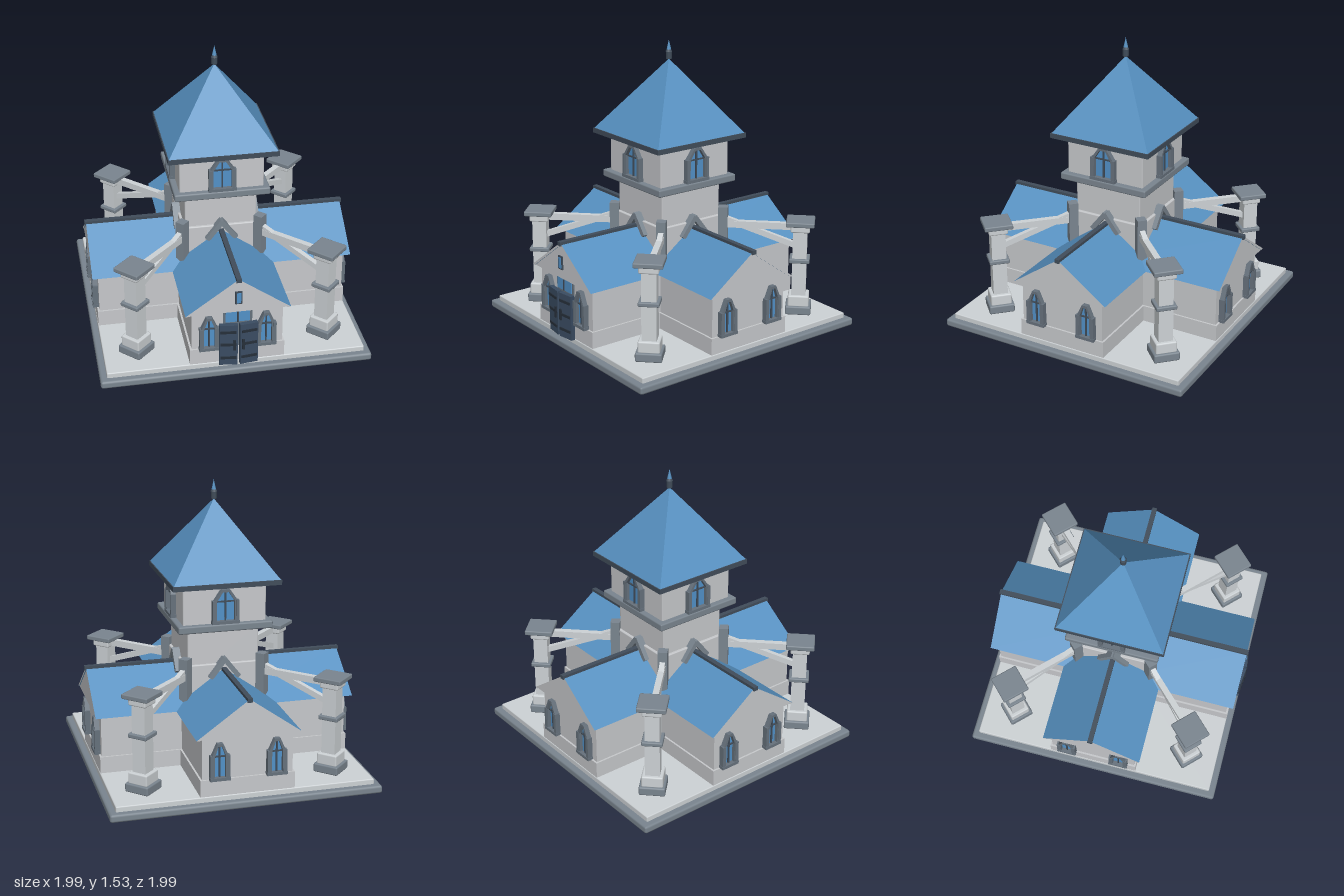
import * as THREE from 'three';
import { RoundedBoxGeometry } from 'three/addons/geometries/RoundedBoxGeometry.js';

const mat = (name, color) => {
  const m = new THREE.MeshStandardMaterial({ color });
  m.name = name;
  return m;
};

export function createModel() {
  const wall = mat('wall stone', 0xc6c8cb);
  const pale = mat('pale stone', 0xcdd2d5);
  const trim = mat('grey trim', 0x7a858f);
  const frameGrey = mat('window frame', 0x66717c);
  const roof = mat('blue roof', 0x5690c0);
  const dark = mat('dark edging', 0x414d5a);
  const glass = mat('blue glass', 0x5291c8);
  const doorBlue = mat('door', 0x3a4c62);
  const iron = mat('iron', 0x262f3a);

  const add = (parent, name, geo, material, x = 0, y = 0, z = 0) => {
    const m = new THREE.Mesh(geo, material);
    m.name = name;
    m.position.set(x, y, z);
    parent.add(m);
    return m;
  };
  // box given by its bottom and top heights
  const box = (parent, name, material, w, y0, y1, d, x = 0, z = 0) =>
    add(parent, name, new THREE.BoxGeometry(w, y1 - y0, d), material, x, (y0 + y1) / 2, z);
  const bevelBox = (parent, name, material, w, y0, y1, d, r = 0.008) =>
    add(parent, name, new RoundedBoxGeometry(w, y1 - y0, d, 1, r), material, 0, (y0 + y1) / 2, 0);
  const polygon = (pts) => new THREE.Shape(pts.map(([x, y]) => new THREE.Vector2(x, y)));
  const extrude = (shape, depth) => new THREE.ExtrudeGeometry(shape, { depth, bevelEnabled: false });

  // pointed window outline standing on y = 0
  const outline = (a, h) => [[-a, 0], [a, 0], [a, h * 0.68], [a * 0.35, h], [-a * 0.35, h], [-a, h * 0.68]];
  function makeWindow(a, h, depth) {
    const g = new THREE.Group();
    g.name = 'window';
    const t = 0.014;
    const inner = outline(a - t, h - 2 * t).map(([x, y]) => [x, y + t]);
    const surround = polygon(outline(a, h));
    surround.holes.push(new THREE.Path(inner.map(([x, y]) => new THREE.Vector2(x, y))));
    add(g, 'windowFrame', extrude(surround, depth), frameGrey);
    add(g, 'windowGlass', new THREE.ShapeGeometry(polygon(inner)), glass, 0, 0, 0.006);
    box(g, 'mullion', dark, 0.008, t, h - t, 0.008, 0, 0.01);
    box(g, 'crossbar', dark, 2 * (a - t), h * 0.62, h * 0.62 + 0.007, 0.008, 0, 0.01);
    box(g, 'windowSill', frameGrey, 2 * a + 0.022, 0, 0.016, depth + 0.01, 0, depth / 2);
    for (const s of [-1, 1]) {
      box(g, 'windowPier', frameGrey, 0.018, 0, h * 0.68, depth + 0.006, s * a, depth / 2);
    }
    return g;
  }

  const model = new THREE.Group();
  model.name = 'chapel';
  const body = new THREE.Group();
  body.name = 'building';
  body.rotation.y = Math.PI / 4;
  model.add(body);

  // stepped platform
  bevelBox(body, 'platformBase', trim, 1.414, 0, 0.042, 1.414, 0.012);
  bevelBox(body, 'platformTop', pale, 1.345, 0.035, 0.07, 1.345, 0.006);

  // cross-shaped ground floor
  for (const [w, d] of [[0.47, 1.32], [1.32, 0.47]]) {
    box(body, 'plinth', wall, w + 0.02, 0.07, 0.158, d + 0.02);
    box(body, 'wingWalls', wall, w, 0.158, 0.385, d);
  }

  // wings with gable roofs
  for (let i = 0; i < 4; i++) {
    const wing = new THREE.Group();
    wing.name = 'wing';
    wing.rotation.y = i * Math.PI / 2;
    body.add(wing);
    add(wing, 'gable', extrude(polygon([[-0.255, 0.38], [0.255, 0.38], [0, 0.562]]), 0.688), wall);
    const slopes = polygon([[0.27, 0.38], [0, 0.573], [-0.27, 0.38], [-0.25, 0.38], [0, 0.559], [0.25, 0.38]]);
    add(wing, 'wingRoof', extrude(slopes, 0.692), [wall, roof]);
    box(wing, 'ridgeCap', dark, 0.026, 0.558, 0.579, 0.53, 0, 0.435);
    for (const s of [-1, 1]) {
      const w = makeWindow(0.042, 0.195, 0.026);
      w.position.set(s * 0.147, 0.156, 0.66);
      wing.add(w);
      // peaked moulding where the ridge meets the tower
      const m = box(wing, 'peakMoulding', trim, 0.026, -0.065, 0.065, 0.05, s * 0.037, 0.205);
      m.position.y = 0.58;
      m.rotation.z = s * 0.66;
    }
  }

  // double door on the front wing
  const entrance = new THREE.Group();
  entrance.name = 'entrance';
  entrance.position.z = 0.67;
  body.add(entrance);
  box(entrance, 'transomFrame', frameGrey, 0.15, 0.07, 0.375, 0.008, 0, -0.006);
  box(entrance, 'transomGlass', glass, 0.125, 0.31, 0.37, 0.008, 0, 0);
  box(entrance, 'transomBar', dark, 0.008, 0.31, 0.37, 0.008, 0, 0.004);
  for (const s of [-1, 1]) {
    const leaf = new THREE.Group();
    leaf.name = 'doorLeaf';
    leaf.position.set(s * 0.052, 0, 0.025);
    leaf.rotation.y = s * 0.12;
    entrance.add(leaf);
    box(leaf, 'doorPanel', doorBlue, 0.094, 0.072, 0.312, 0.024);
    for (const y of [0.11, 0.19, 0.265]) box(leaf, 'doorStrap', iron, 0.08, y, y + 0.014, 0.034);
    box(leaf, 'doorHandle', iron, 0.012, 0.165, 0.225, 0.04, -s * 0.032);
  }
  box(body, 'atticFrame', dark, 0.036, 0.43, 0.502, 0.009, 0, 0.691);
  box(body, 'atticGlass', glass, 0.022, 0.437, 0.495, 0.009, 0, 0.694);

  // tower
  bevelBox(body, 'towerFoot', wall, 0.41, 0.38, 0.6, 0.41, 0.006);
  bevelBox(body, 'towerLower', wall, 0.38, 0.5, 0.8, 0.38, 0.006);
  bevelBox(body, 'towerBelt', trim, 0.503, 0.785, 0.825, 0.503);
  bevelBox(body, 'towerUpper', wall, 0.442, 0.81, 1.03, 0.442, 0.006);
  box(body, 'towerEaves', dark, 0.572, 1.024, 1.05, 0.572);
  for (let i = 0; i < 4; i++) {
    const side = new THREE.Group();
    side.name = 'towerSide';
    side.rotation.y = i * Math.PI / 2;
    body.add(side);
    const w = makeWindow(0.062, 0.182, 0.026);
    w.position.set(0, 0.826, 0.221);
    side.add(w);
  }
  const pyramid = new THREE.ConeGeometry(0.397, 0.382, 4, 1).toNonIndexed();
  pyramid.computeVertexNormals();
  add(model, 'towerRoof', pyramid, roof, 0, 1.241, 0);

  // finial
  add(model, 'finialBase', new THREE.CylinderGeometry(0.016, 0.016, 0.04, 8), dark, 0, 1.452, 0);
  add(model, 'finialCollar', new THREE.CylinderGeometry(0.012, 0.018, 0.012, 8), dark, 0, 1.475, 0);
  add(model, 'finialSpike', new THREE.ConeGeometry(0.013, 0.055, 8), roof, 0, 1.505, 0);

  // corner pillars with flying buttresses
  for (let i = 0; i < 4; i++) {
    const buttress = new THREE.Group();
    buttress.name = 'buttress';
    buttress.rotation.y = i * Math.PI / 2;
    model.add(buttress);
    const pillar = new THREE.Group();
    pillar.name = 'pillar';
    pillar.position.x = 0.703;
    buttress.add(pillar);
    bevelBox(pillar, 'pillarFoot', trim, 0.136, 0.068, 0.115, 0.136);
    bevelBox(pillar, 'pillarBase', pale, 0.112, 0.11, 0.172, 0.112);
    box(pillar, 'pillarShaft', pale, 0.076, 0.165, 0.54, 0.076);
    bevelBox(pillar, 'pillarBand', trim, 0.108, 0.355, 0.378, 0.108, 0.006);
    bevelBox(pillar, 'pillarNeck', pale, 0.102, 0.525, 0.565, 0.102);
    bevelBox(pillar, 'pillarCap', trim, 0.15, 0.562, 0.588, 0.15, 0.006);
    box(buttress, 'upperArm', pale, 0.38, 0.53, 0.566, 0.032, 0.48);
    const brace = box(buttress, 'lowerBrace', pale, 0.41, -0.015, 0.015, 0.028, 0.49);
    brace.position.y = 0.51;
    brace.rotation.z = -0.34;
    box(buttress, 'towerPier', trim, 0.05, 0.38, 0.643, 0.05, 0.292);
  }
  return model;
}
